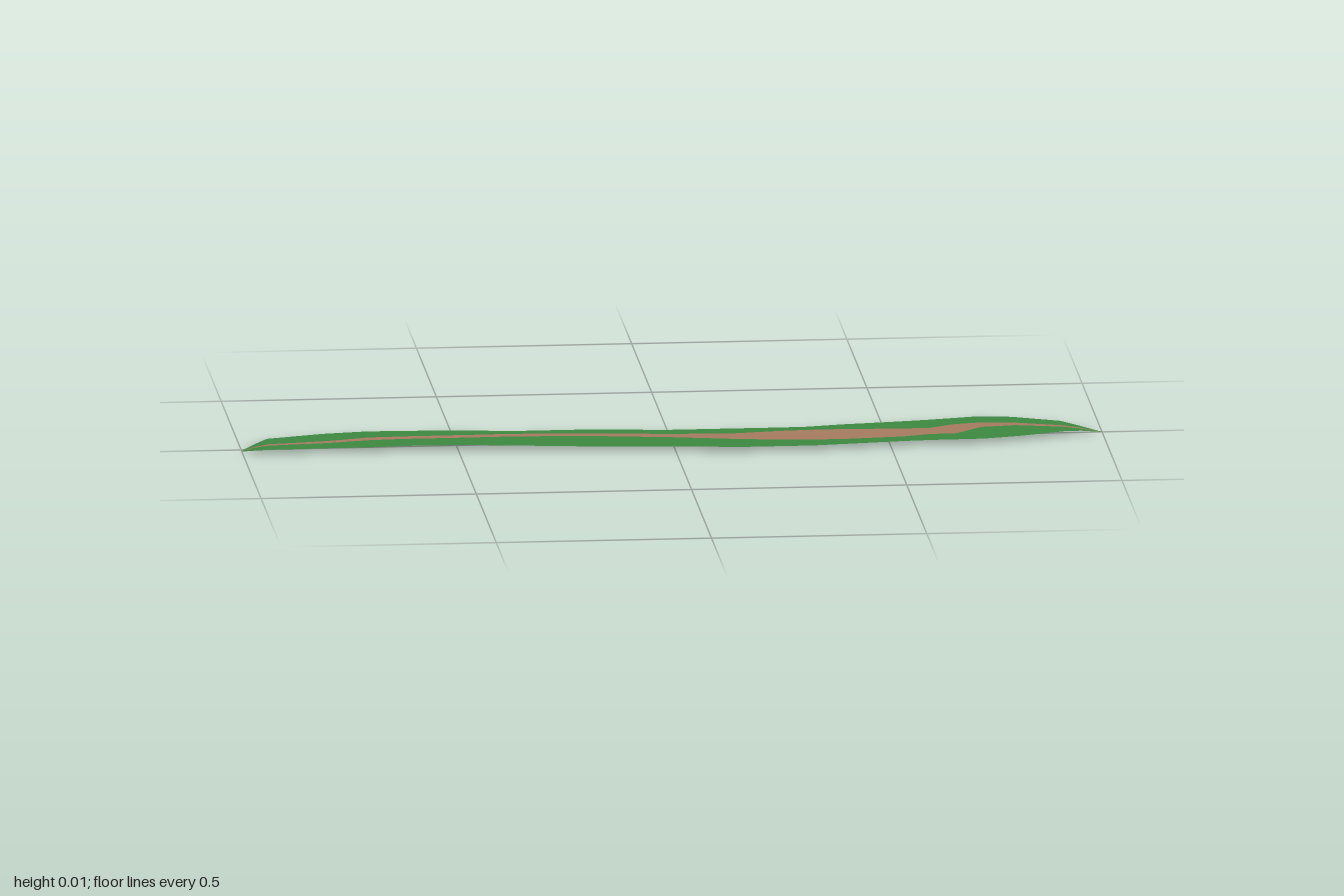
import * as THREE from 'three';

// Cross-sections along x: [x, back edge, path back, path front, front edge, y]
const SECTIONS = [
  [-1.00, 0.02, 0.022, 0.024, 0.03, 0.003],
  [-0.97, -0.02, 0.003, 0.011, 0.04, 0.007],
  [-0.935, -0.06, -0.005, 0.009, 0.053, 0.011],
  [-0.80, -0.095, -0.02, 0.0, 0.053, 0.012],
  [-0.70, -0.11, -0.048, -0.02, 0.053, 0.012],
  [-0.62, -0.108, -0.052, -0.026, 0.045, 0.012],
  [-0.48, -0.102, -0.053, -0.026, 0.05, 0.012],
  [-0.37, -0.083, -0.055, -0.028, 0.065, 0.012],
  [-0.20, -0.083, -0.045, -0.018, 0.09, 0.012],
  [0.00, -0.062, -0.02, 0.014, 0.107, 0.012],
  [0.145, -0.062, -0.012, 0.045, 0.128, 0.012],
  [0.26, -0.062, -0.028, 0.064, 0.128, 0.012],
  [0.32, -0.064, -0.032, 0.068, 0.128, 0.012],
  [0.40, -0.08, -0.033, 0.068, 0.118, 0.012],
  [0.53, -0.097, -0.026, 0.056, 0.102, 0.012],
  [0.60, -0.108, -0.026, 0.036, 0.097, 0.012],
  [0.66, -0.12, -0.058, 0.034, 0.096, 0.012],
  [0.72, -0.133, -0.071, -0.025, 0.094, 0.012],
  [0.80, -0.122, -0.063, -0.036, 0.075, 0.012],
  [0.91, -0.07, -0.025, -0.01, 0.036, 0.012],
  [0.95, -0.03, -0.01, 0.0, 0.022, 0.009],
  [1.00, -0.001, 0.0, 0.0, 0.001, 0.0],
];

// Thin upward-facing strip between two columns of the cross-sections
function strip(name, backCol, frontCol, color) {
  const positions = [], index = [];
  SECTIONS.forEach((s, i) => {
    positions.push(s[0], s[5], s[backCol], s[0], s[5], s[frontCol]);
    if (i === 0) return;
    const a = 2 * i - 2;
    index.push(a, a + 1, a + 2, a + 1, a + 3, a + 2);
  });
  const geometry = new THREE.BufferGeometry();
  geometry.setAttribute('position', new THREE.Float32BufferAttribute(positions, 3));
  geometry.setIndex(index);
  geometry.computeVertexNormals();
  const mesh = new THREE.Mesh(geometry, new THREE.MeshStandardMaterial({ color, side: THREE.DoubleSide }));
  mesh.name = name;
  return mesh;
}

export function createModel() {
  const group = new THREE.Group();
  group.name = 'grassStripWithPath';
  // Grass on both sides of a winding dirt path
  group.add(
    strip('backGrass', 1, 2, 0x3f8a42),
    strip('dirtPath', 2, 3, 0xa67c60),
    strip('frontGrass', 3, 4, 0x3f8a42),
  );
  return group;
}
